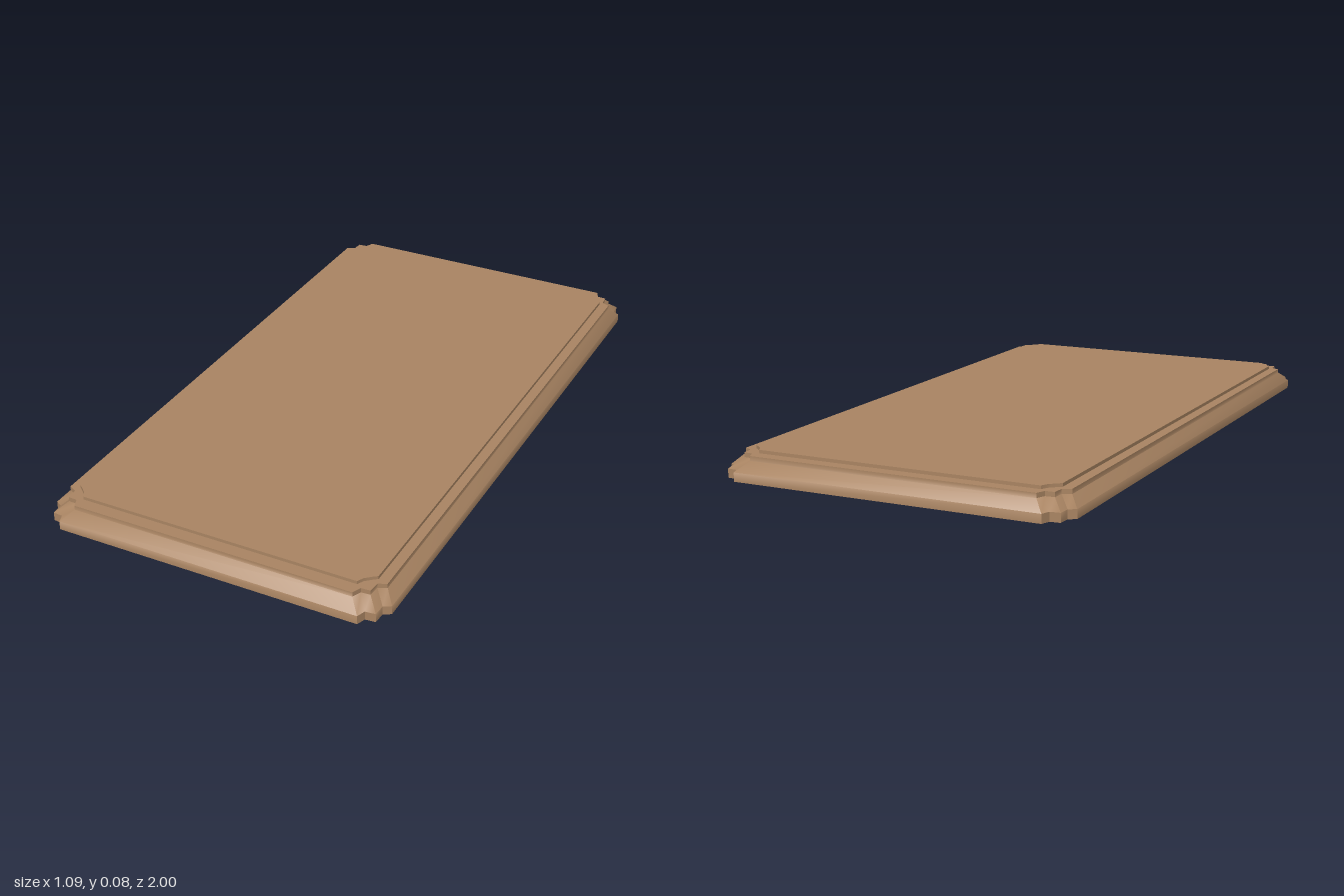
import * as THREE from 'three';
import { toCreasedNormals } from 'three/addons/utils/BufferGeometryUtils.js';

// Mirrors one corner's [x, z] points into a closed outline, counter-clockwise from above
function outline(corner) {
  const quadrants = [[1, 1], [1, -1], [-1, -1], [-1, 1]];
  return quadrants.flatMap(([sx, sz]) => {
    const points = sx * sz > 0 ? corner : [...corner].reverse();
    return points.map(([x, z]) => [sx * x, sz * z]);
  });
}

// Joins matching outlines at rising heights into a closed solid
function loft(layers) {
  const rings = layers.map(({ y, corner }) => outline(corner).map(([x, z]) => [x, y, z]));
  const n = rings[0].length;
  const positions = [];
  const triangle = (a, b, c) => positions.push(...a, ...b, ...c);
  for (let k = 0; k < rings.length - 1; k++) {
    for (let i = 0; i < n; i++) {
      const j = (i + 1) % n;
      const low = rings[k], high = rings[k + 1];
      triangle(low[i], low[j], high[j]);
      triangle(low[i], high[j], high[i]);
    }
  }
  const cap = (ring, up) => {
    const flat = ring.map(([x, , z]) => new THREE.Vector2(x, -z));
    for (const [a, b, c] of THREE.ShapeUtils.triangulateShape(flat, [])) {
      if (up) triangle(ring[a], ring[b], ring[c]);
      else triangle(ring[a], ring[c], ring[b]);
    }
  };
  cap(rings[0], false);
  cap(rings[rings.length - 1], true);
  const geometry = new THREE.BufferGeometry();
  geometry.setAttribute('position', new THREE.Float32BufferAttribute(positions, 3));
  return toCreasedNormals(geometry, 0.9);
}

export function createModel() {
  const model = new THREE.Group();
  const wood = new THREE.MeshStandardMaterial({ color: 0xa98462 });

  // Stepped corner outlines, from the front edge round to the side edge
  const foot = [[0.48, 1], [0.49, 0.973], [0.521, 0.97], [0.523, 0.933], [0.545, 0.92]];
  const rim = [[0.448, 0.964], [0.46, 0.937], [0.488, 0.935], [0.491, 0.9], [0.516, 0.888]];
  const inset = [[0.443, 0.926], [0.453, 0.907], [0.463, 0.898], [0.472, 0.89], [0.485, 0.88]];

  // Slab: upright foot, sloping shoulder, upright rim
  const slab = new THREE.Mesh(loft([
    { y: 0, corner: foot },
    { y: 0.027, corner: foot },
    { y: 0.056, corner: rim },
    { y: 0.07, corner: rim },
  ]), wood);
  slab.name = 'slab';

  // Thin raised panel on top
  const panel = new THREE.Mesh(loft([
    { y: 0.069, corner: inset },
    { y: 0.08, corner: inset },
  ]), wood);
  panel.name = 'topPanel';

  model.add(slab, panel);
  return model;
}
